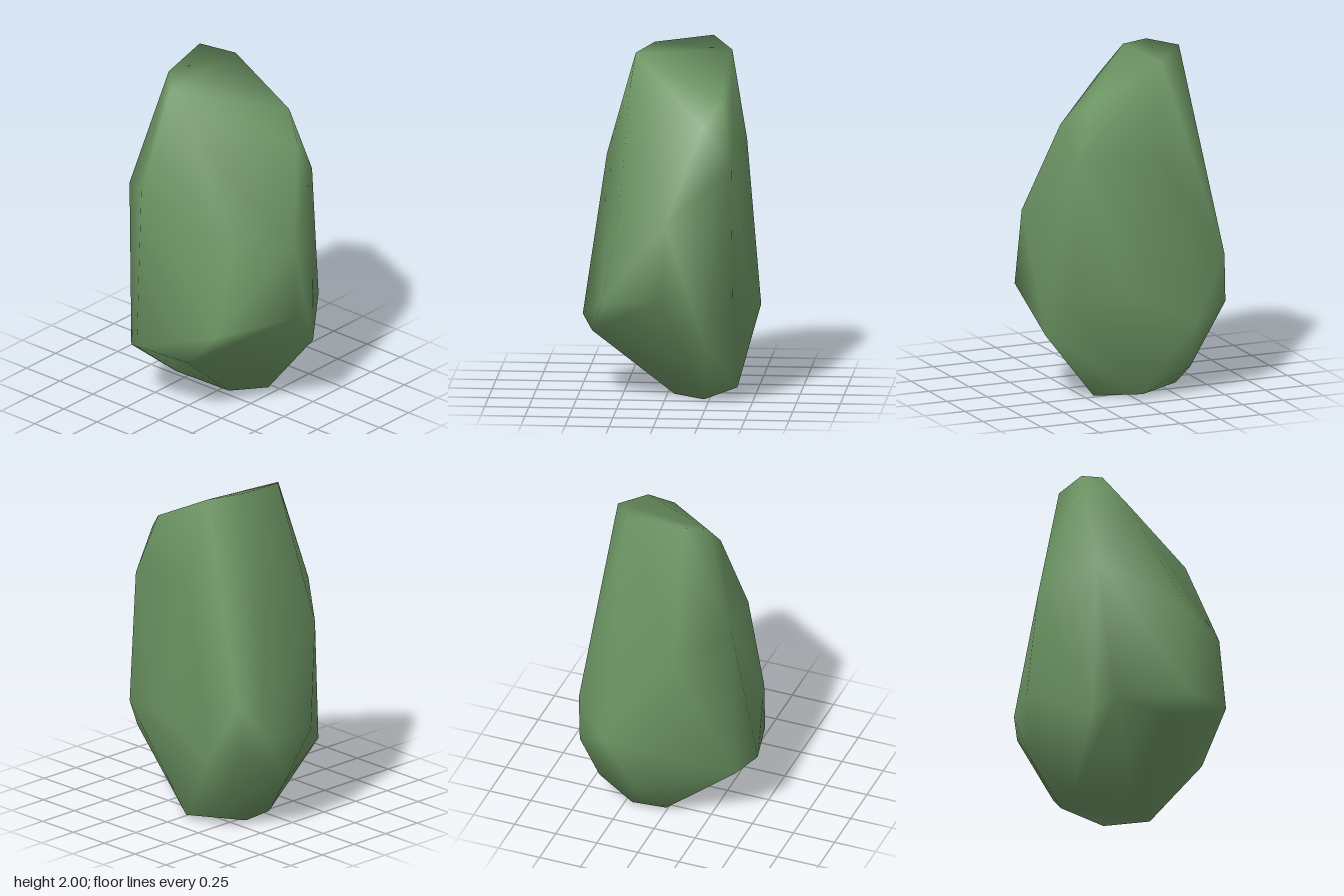
import * as THREE from 'three';
import { ConvexGeometry } from 'three/addons/geometries/ConvexGeometry.js';
import { mergeVertices } from 'three/addons/utils/BufferGeometryUtils.js';

// Corners of the boulder, grouped by height from base to peak
const base = [[0.05, 0, -0.04], [0.19, 0, -0.22], [-0.04, 0.025, -0.39], [-0.33, 0.02, -0.2], [-0.31, 0.02, 0]];
const foot = [[-0.54, 0.28, -0.1], [-0.33, 0.16, -0.4], [-0.33, 0.45, -0.5], [0.5, 0.39, -0.25],
  [0.15, 0.38, 0.42], [-0.17, 0.41, 0.5], [-0.29, 0.35, 0.41]];
const belly = [[-0.59, 0.58, 0.06], [-0.585, 0.6, -0.28], [-0.53, 0.53, -0.44], [-0.52, 0.81, -0.45],
  [0.04, 0.6, -0.46], [0.41, 0.6, -0.4], [0.585, 0.65, -0.01], [0.3, 0.56, 0.355]];
const shoulder = [[-0.54, 1.19, 0.14], [-0.25, 1.32, 0.37], [0.32, 1.1, 0.25], [0.55, 1.08, -0.03],
  [0.37, 1.38, -0.39], [-0.1, 1.45, -0.44], [-0.4, 1.4, -0.35]];
const peak = [[0.4, 1.61, -0.23], [0.25, 1.74, -0.33], [-0.03, 1.75, 0.22], [-0.18, 1.92, 0.2],
  [-0.28, 1.965, 0.1], [-0.17, 1.95, -0.35], [-0.335, 2, -0.23]];

export function createModel() {
  const group = new THREE.Group();
  group.name = 'boulder';
  const mossGreen = new THREE.MeshStandardMaterial({ name: 'mossGreen', color: 0x6b9362 });

  // Wrap the corners in a closed skin and share vertices for smooth shading
  const points = [base, foot, belly, shoulder, peak].flat().map((p) => new THREE.Vector3(...p));
  const hull = new ConvexGeometry(points);
  hull.deleteAttribute('normal');
  const skin = mergeVertices(hull, 1e-4);
  skin.computeVertexNormals();

  const rock = new THREE.Mesh(skin, mossGreen);
  rock.name = 'rock';
  group.add(rock);
  return group;
}
